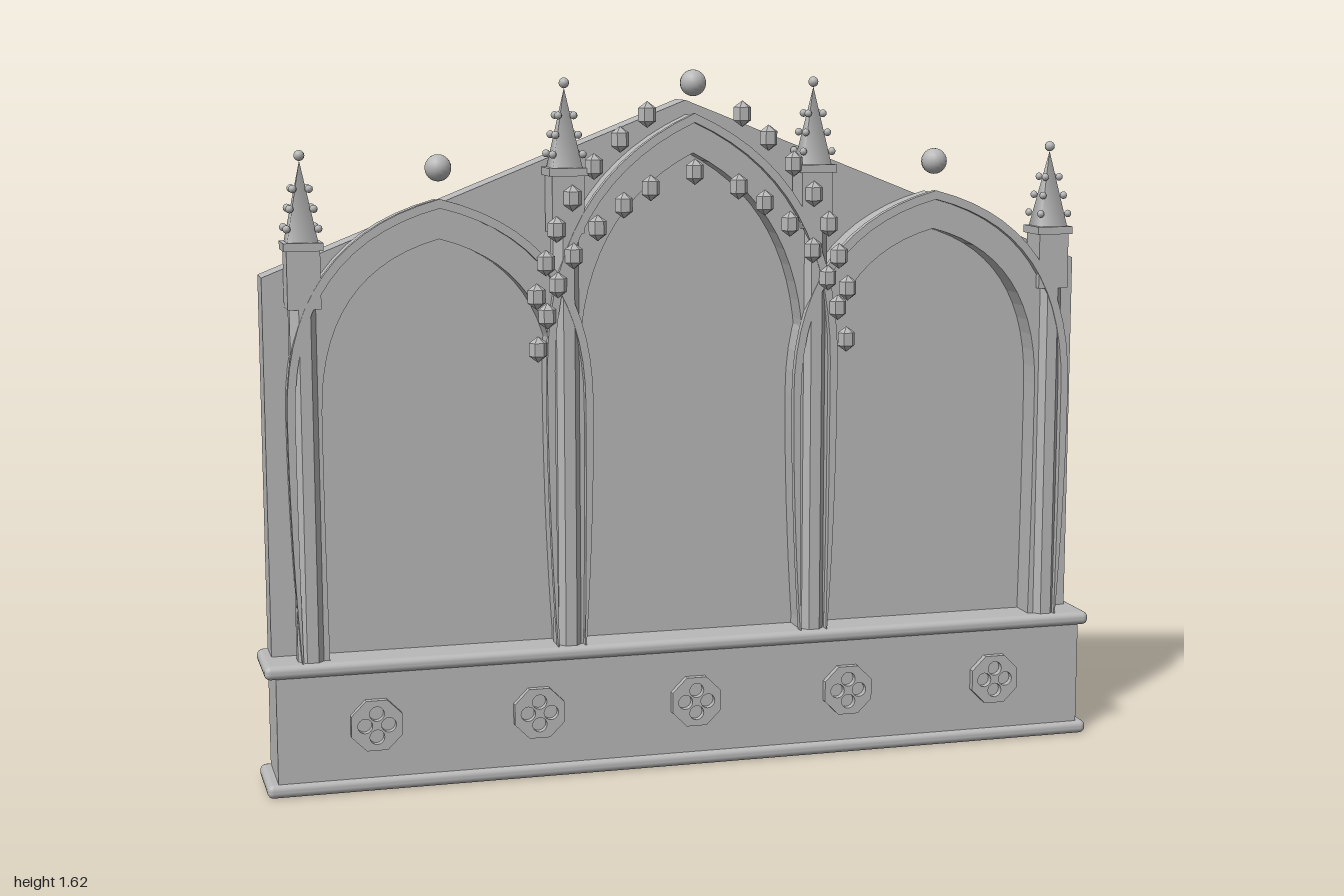
import * as THREE from 'three';
import { RoundedBoxGeometry } from 'three/addons/geometries/RoundedBoxGeometry.js';

export function createModel() {
  const model = new THREE.Group();
  const stone = new THREE.MeshStandardMaterial({ color: 0xb8b8b8 });
  stone.name = 'stone';

  const add = (name, geometry, x = 0, y = 0, z = 0, parent = model) => {
    const mesh = new THREE.Mesh(geometry, stone);
    mesh.name = name;
    mesh.position.set(x, y, z);
    parent.add(mesh);
    return mesh;
  };
  const extrude = (shape, depth, curveSegments = 14) =>
    new THREE.ExtrudeGeometry(shape, { depth, bevelEnabled: false, curveSegments });

  // Base with rounded mouldings
  add('base', new THREE.BoxGeometry(1.95, 0.28, 0.17), 0, 0.15, -0.005);
  for (const y of [0.0165, 0.291])
    add('baseMoulding', new RoundedBoxGeometry(2, 0.032, 0.19, 3, 0.014), 0, y, -0.005);

  // Gabled back panel
  const gable = new THREE.Shape([
    [-0.975, 0.02], [0.975, 0.02], [0.975, 1.17], [0, 1.555], [-0.975, 1.17],
  ].map(([x, y]) => new THREE.Vector2(x, y)));
  add('backPanel', extrude(gable, 0.085), 0, 0, -0.09);

  // Pointed arch band: jambs bulge slightly, then curve up to the apex
  const FOOT = 0.305;
  function archBand({ spring, control, apex }, outset, width, depth) {
    const s = new THREE.Shape();
    const o = 0.342 + outset, i = o - width;
    const oa = apex + outset, ia = oa - width * 1.15;
    const oc = control + outset, ic = oc - width * 0.9;
    s.moveTo(-o + 0.02, FOOT);
    s.quadraticCurveTo(-o, 0.6, -o, spring);
    s.quadraticCurveTo(-o, oc, 0, oa);
    s.quadraticCurveTo(o, oc, o, spring);
    s.quadraticCurveTo(o, 0.6, o - 0.02, FOOT);
    s.lineTo(i - 0.005, FOOT);
    s.quadraticCurveTo(i, 0.6, i, spring);
    s.quadraticCurveTo(i, ic, 0, ia);
    s.quadraticCurveTo(-i, ic, -i, spring);
    s.quadraticCurveTo(-i, 0.6, -i + 0.005, FOOT);
    return extrude(s, depth);
  }
  const sideArch = { spring: 0.87, control: 1.25, apex: 1.338 };
  const centreArch = { spring: 0.95, control: 1.37, apex: 1.522 };
  for (const [x, arch] of [[-0.587, sideArch], [0, centreArch], [0.587, sideArch]]) {
    add('arch', archBand(arch, 0, 0.074, 0.065), x, 0, -0.005);
    add('archRim', archBand(arch, 0.005, 0.018, 0.018), x, 0, 0.06);
    add('archBall', new THREE.SphereGeometry(0.03, 16, 12), x, arch.apex + 0.073, 0.06);
  }

  // Pillars with pinnacles
  const shaft = h => new THREE.CylinderGeometry(0.034, 0.034, h, 8)
    .rotateY(Math.PI / 8).scale(1, 1, 1.2).toNonIndexed();
  const bud = new THREE.SphereGeometry(0.009, 8, 6);
  const spire = new THREE.ConeGeometry(0.049, 0.18, 4).rotateY(Math.PI / 4);
  function pillar(x, top) {
    const g = new THREE.Group();
    g.name = 'pillar';
    g.position.set(x, 0, 0.038);
    model.add(g);
    const h = top - FOOT;
    const column = shaft(h);
    column.computeVertexNormals();
    add('pillarShaft', column, 0, FOOT + h / 2, 0, g);
    add('pinnacleBlock', new THREE.BoxGeometry(0.074, 0.13, 0.076), 0, top + 0.06, 0, g);
    add('pinnacleCap', new THREE.BoxGeometry(0.088, 0.018, 0.088), 0, top + 0.133, 0, g);
    add('spire', spire, 0, top + 0.23, 0, g);
    add('spireBall', new THREE.SphereGeometry(0.012, 10, 8), 0, top + 0.331, 0, g);
    // Buds climb the four edges of the spire
    for (const t of [0.18, 0.42, 0.66])
      for (const sx of [-1, 1])
        for (const sz of [-1, 1]) {
          const r = 0.035 * (1 - t) + 0.006;
          add('spireBud', bud, sx * r, top + 0.14 + 0.18 * t, sz * r, g);
        }
  }
  for (const side of [-1, 1]) {
    pillar(side * 0.89, 1.11);
    pillar(side * 0.295, 1.265);
  }

  // Two rows of faceted crockets along the centre arch
  const crocket = new THREE.SphereGeometry(0.024, 6, 3).scale(1, 1.25, 0.85).toNonIndexed();
  crocket.computeVertexNormals();
  const xs = [0.112, 0.175, 0.236, 0.286, 0.323, 0.348, 0.37];
  const upper = [1.525, 1.47, 1.41, 1.34, 1.27, 1.195, 1.12];
  const lower = [1.36, 1.322, 1.272, 1.21, 1.145, 1.075, 1.0];
  add('crocket', crocket, 0, 1.395, 0.077);
  for (const side of [-1, 1])
    xs.forEach((x, k) => {
      add('crocket', crocket, side * x, upper[k], 0.077);
      add('crocket', crocket, side * (x - (k < 3 ? 0.008 : 0.002)), lower[k], 0.077);
    });

  // Octagonal quatrefoil rosettes on the base
  const octagon = new THREE.Shape();
  for (let k = 0; k < 8; k++) {
    const a = (k + 0.5) * Math.PI / 4;
    octagon[k ? 'lineTo' : 'moveTo'](0.063 * Math.cos(a), 0.063 * Math.sin(a));
  }
  for (let k = 0; k < 4; k++) {
    const a = k * Math.PI / 2;
    const hole = new THREE.Path();
    hole.absarc(0.027 * Math.cos(a), 0.027 * Math.sin(a), 0.017, 0, Math.PI * 2, true);
    octagon.holes.push(hole);
  }
  const rosette = extrude(octagon, 0.017, 8);
  for (let k = -2; k <= 2; k++) add('rosette', rosette, k * 0.376, 0.157, 0.079);

  return model;
}
